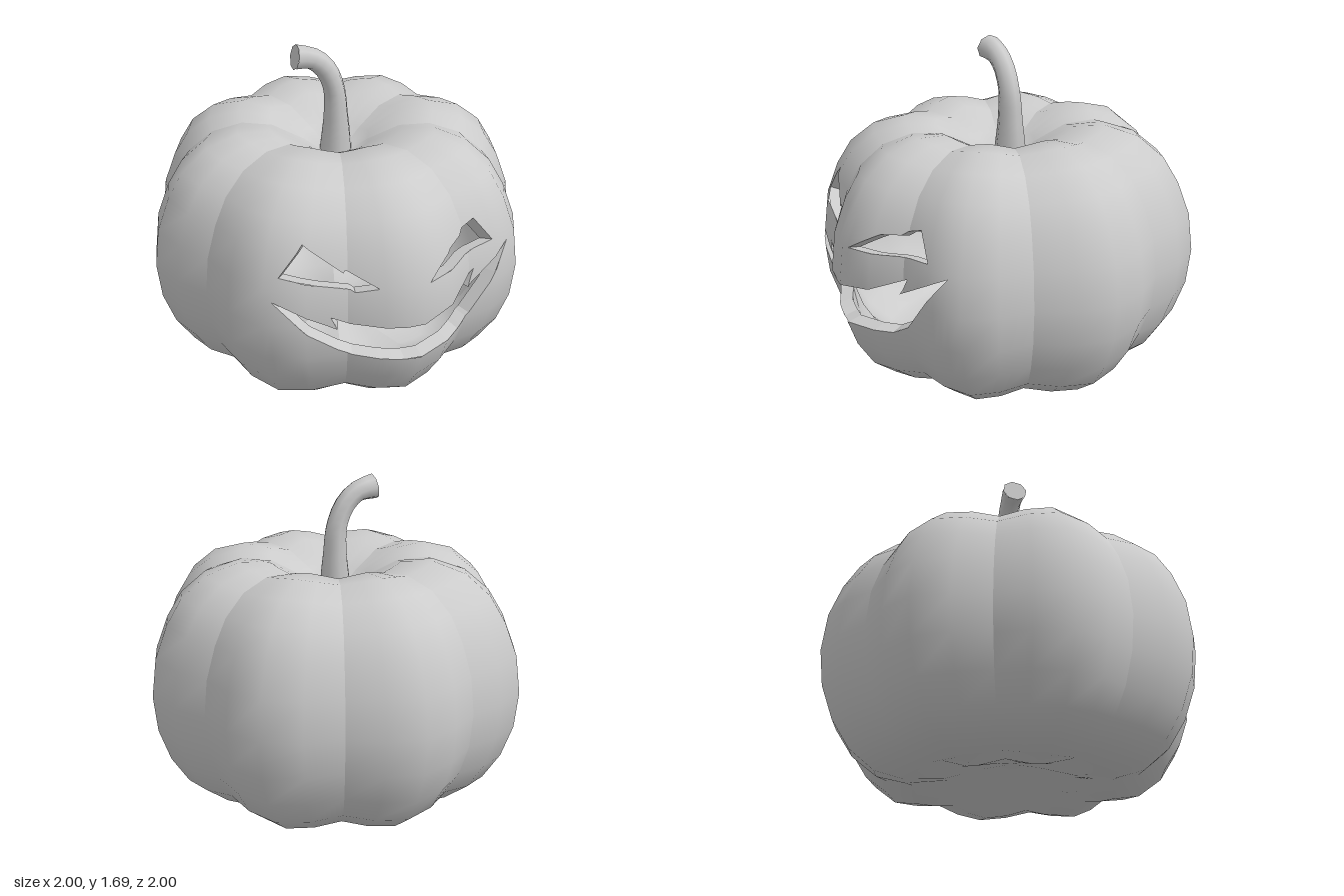
import * as THREE from 'three';

// Body cage: crease angles (degrees from the front), 4 columns per lobe, and a bottom-to-top profile [radius, y]
const CREASES = [-154, -109, -65, -17, 26, 67, 114, 161, 206];
const SWELL = [0, 0.6, 1, 0.6];
const PROFILE = [
  [0, 0.13], [0.15, 0.09], [0.35, 0.02], [0.55, 0], [0.7, 0.03], [0.83, 0.13], [0.92, 0.27], [0.98, 0.44], [1, 0.63],
  [0.975, 0.83], [0.91, 1.0], [0.83, 1.13], [0.7, 1.235], [0.53, 1.285], [0.36, 1.27], [0.18, 1.17], [0, 1.04],
];
const COLS = 32, ROWS = PROFILE.length - 1;
const CENTRE = new THREE.Vector3(0, 0.64, 0), INNER = 0.925;

// Carved openings, clockwise as seen from the front [x, y]
const OPENINGS = [
  [[-0.567, 0.88], [-0.444, 1.027], [-0.273, 0.885], [-0.262, 0.897], [-0.128, 0.822], [-0.23, 0.795], [-0.25, 0.81]],
  [[0.112, 0.827], [0.182, 0.875], [0.26, 0.925], [0.342, 0.935], [0.364, 0.957], [0.44, 0.983], [0.54, 0.855], [0.3, 0.835]],
  [[-0.61, 0.763], [-0.37, 0.635], [-0.315, 0.6], [-0.347, 0.672], [-0.26, 0.63], [0, 0.612], [0.25, 0.65], [0.42, 0.74],
    [0.385, 0.655], [0.648, 0.808], [0.53, 0.63], [0.41, 0.48], [0.33, 0.43], [0, 0.405], [-0.24, 0.435], [-0.31, 0.475], [-0.46, 0.59]],
];

function cagePoint(i, j) {
  const col = (i + COLS) % COLS, lobe = Math.floor(col / 4), k = col % 4;
  const angle = THREE.MathUtils.degToRad(THREE.MathUtils.lerp(CREASES[lobe], CREASES[lobe + 1], k / 4));
  const [r, y] = PROFILE[j];
  const pinch = 1 - SWELL[k];
  const radius = r * (1 - 0.09 * pinch);
  const height = y + (0.64 - y) * 0.05 * pinch * Math.min(1, r / 0.35);
  return new THREE.Vector3(Math.sin(angle) * radius, height, Math.cos(angle) * radius);
}

// Cage normal, one-sided at the creases so each lobe is shaded by itself
function cageNormal(i, j, lobe) {
  if (j === 0 || j === ROWS) return new THREE.Vector3(0, j ? 1 : -1, 0);
  const du = cagePoint(Math.min(i + 1, lobe * 4 + 4), j).sub(cagePoint(Math.max(i - 1, lobe * 4), j));
  const dv = cagePoint(i, j + 1).sub(cagePoint(i, j - 1));
  return du.cross(dv).normalize();
}

// Bilinear lookup on the cage; c is the column cell
function sample(fn, u, v, c = Math.min(Math.floor(u), COLS - 1)) {
  const j = Math.min(Math.floor(v), ROWS - 1), lobe = Math.floor(c / 4);
  const low = fn(c, j, lobe).lerp(fn(c + 1, j, lobe), u - c);
  const high = fn(c, j + 1, lobe).lerp(fn(c + 1, j + 1, lobe), u - c);
  return low.lerp(high, v - j);
}
const inward = (p) => p.clone().sub(CENTRE).multiplyScalar(INNER).add(CENTRE);

// Finds the cage coordinates of a front-view point
function locate(x, y) {
  let u = 14, v = 8;
  for (let n = 0; n < 60; n++) {
    const p = sample(cagePoint, u, v);
    u += (x - p.x) * 3;
    v += (y - p.y) * 4;
  }
  return [u, v];
}

// Opening outlines as short edges in cage coordinates
function openingEdges() {
  const edges = [];
  for (const outline of OPENINGS) {
    const pts = [];
    outline.forEach(([x, y], n) => {
      const [x2, y2] = outline[(n + 1) % outline.length];
      for (let s = 0; s < 4; s++) pts.push(locate(x + (x2 - x) * s / 4, y + (y2 - y) * s / 4));
    });
    pts.forEach((p, n) => edges.push([p, pts[(n + 1) % pts.length]]));
  }
  return edges;
}

function makeGeometry(positions, normals) {
  const g = new THREE.BufferGeometry();
  g.setAttribute('position', new THREE.Float32BufferAttribute(positions, 3));
  if (normals) g.setAttribute('normal', new THREE.Float32BufferAttribute(normals, 3));
  else g.computeVertexNormals();
  return g;
}

// Outer and inner skins, built column by column around the openings
function buildSkins(edges) {
  const outer = { p: [], n: [] }, inner = { p: [], n: [] };
  const cuts = [];
  for (let i = 0; i <= COLS; i++) cuts.push(i);
  edges.forEach(([a]) => cuts.push(a[0]));
  cuts.sort((a, b) => a - b);
  const us = cuts.filter((u, n) => n === 0 || u - cuts[n - 1] > 1e-5);

  const addQuad = (corners, c) => {
    const pts = corners.map(([u, v]) => sample(cagePoint, u, v, c));
    const nrm = corners.map(([u, v]) => sample(cageNormal, u, v, c).normalize());
    for (const k of [0, 1, 2, 0, 2, 3]) {
      outer.p.push(...pts[k].toArray());
      outer.n.push(...nrm[k].toArray());
    }
    for (const k of [0, 2, 1, 0, 3, 2]) {
      inner.p.push(...inward(pts[k]).toArray());
      inner.n.push(...nrm[k].clone().negate().toArray());
    }
  };

  for (let n = 0; n < us.length - 1; n++) {
    const ua = us[n], ub = us[n + 1], mid = (ua + ub) / 2, c = Math.floor(mid);
    const lines = edges
      .filter(([a, b]) => (a[0] < mid) !== (b[0] < mid))
      .map(([a, b]) => [ua, ub].map((u) => a[1] + (b[1] - a[1]) * (u - a[0]) / (b[0] - a[0])))
      .sort((a, b) => a[0] + a[1] - b[0] - b[1]);
    const bounds = [[0, 0], ...lines, [ROWS, ROWS]];
    for (let k = 0; k + 1 < bounds.length; k += 2) {
      const lo = bounds[k], hi = bounds[k + 1];
      const level = (j, s) => Math.min(Math.max(j, lo[s]), hi[s]);
      for (let j = 0; j < ROWS; j++) {
        const a0 = level(j, 0), a1 = level(j + 1, 0), b0 = level(j, 1), b1 = level(j + 1, 1);
        if (a1 - a0 + b1 - b0 > 1e-6) addQuad([[ua, a0], [ub, b0], [ub, b1], [ua, a1]], c);
      }
    }
  }
  return [makeGeometry(outer.p, outer.n), makeGeometry(inner.p, inner.n)];
}

// Cut faces through the wall
function buildCutFaces(edges) {
  const pos = [];
  for (const [a, b] of edges) {
    const p = sample(cagePoint, ...a), q = sample(cagePoint, ...b);
    const pi = inward(p), qi = inward(q);
    for (const k of [p, pi, q, q, pi, qi]) pos.push(...k.toArray());
  }
  return makeGeometry(pos);
}

// Curved stem: a tube whose rings follow a radius list, with a flat cut end
function buildStem(material) {
  const path = new THREE.CatmullRomCurve3([
    [0.01, 1.03], [0.012, 1.28], [0, 1.44], [-0.05, 1.55], [-0.12, 1.608], [-0.205, 1.625],
  ].map(([x, y]) => new THREE.Vector3(x, y, -0.03)));
  const radii = [0.095, 0.066, 0.056, 0.055, 0.056, 0.066];
  const steps = 15, sides = 8;
  const tube = new THREE.TubeGeometry(path, steps, 1, sides, false);
  const pos = tube.attributes.position, v = new THREE.Vector3();
  for (let k = 0; k < pos.count; k++) {
    const s = Math.floor(k / (sides + 1)) / steps;
    const t = path.getUtoTmapping(s) * (radii.length - 1), i = Math.min(Math.floor(t), radii.length - 2);
    const centre = path.getPointAt(s);
    v.fromBufferAttribute(pos, k).sub(centre).multiplyScalar(THREE.MathUtils.lerp(radii[i], radii[i + 1], t - i)).add(centre);
    pos.setXYZ(k, v.x, v.y, v.z);
  }
  const group = new THREE.Group();
  group.name = 'stem';
  const stalk = new THREE.Mesh(tube, material);
  stalk.name = 'stemStalk';
  const end = new THREE.Mesh(new THREE.CircleGeometry(radii[5], sides), material);
  end.name = 'stemCutEnd';
  end.position.copy(path.getPointAt(1));
  end.quaternion.setFromUnitVectors(new THREE.Vector3(0, 0, 1), path.getTangentAt(1));
  group.add(stalk, end);
  return group;
}

export function createModel() {
  const model = new THREE.Group();
  model.name = 'carvedPumpkin';
  const material = new THREE.MeshStandardMaterial({ color: 0xcccccc });
  const edges = openingEdges();
  const [outer, inner] = buildSkins(edges);
  const parts = { outerSkin: outer, innerSkin: inner, carvedFaceEdges: buildCutFaces(edges) };
  for (const [name, geometry] of Object.entries(parts)) {
    const mesh = new THREE.Mesh(geometry, material);
    mesh.name = name;
    model.add(mesh);
  }
  model.add(buildStem(material));
  return model;
}
